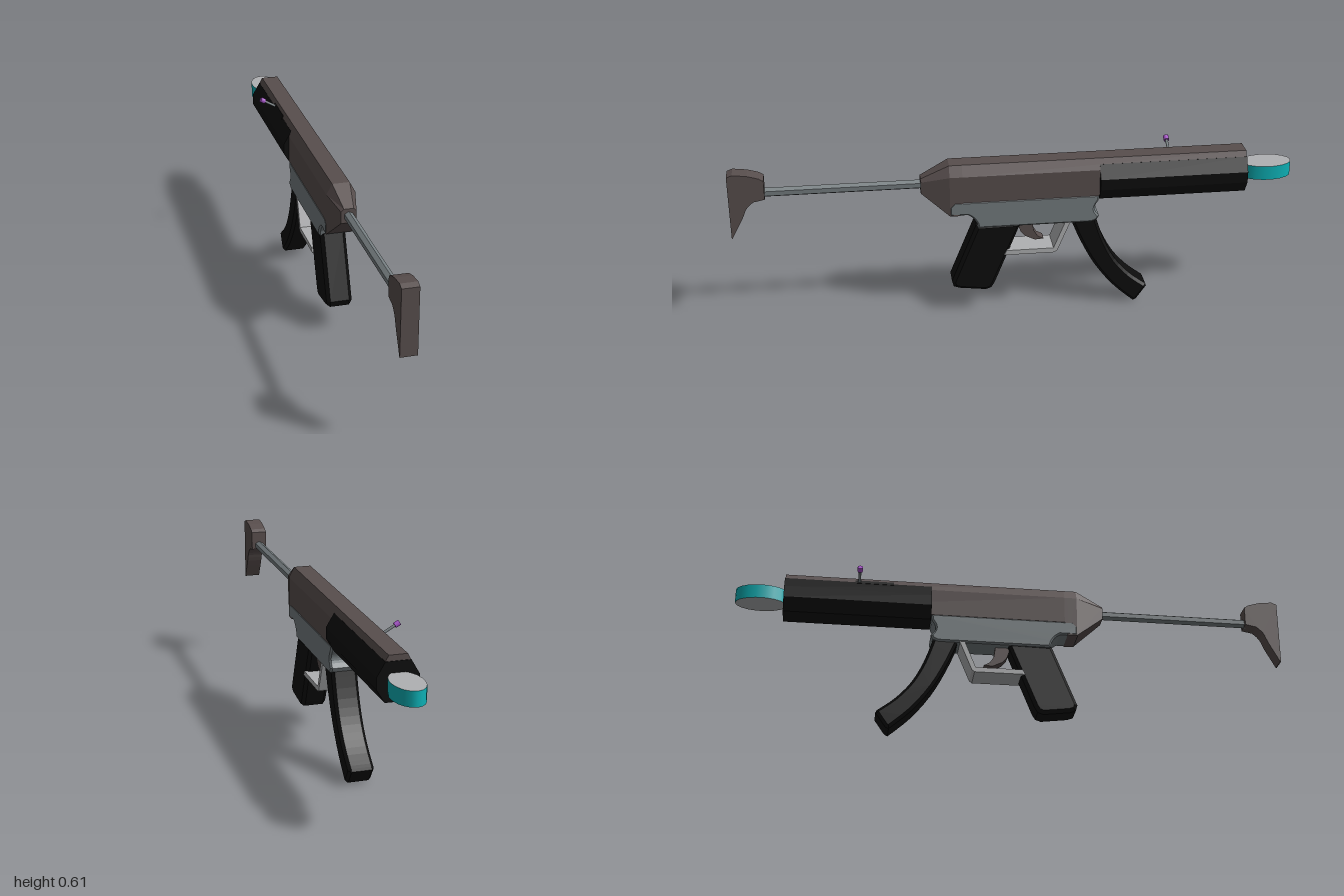
import * as THREE from 'three';

const mat = (name, color) => {
  const m = new THREE.MeshStandardMaterial({ color });
  m.name = name;
  return m;
};

// Side profile of [z, y] points, extruded across x with an optional chamfer
function sideExtrude(points, halfWidth, bevel = 0) {
  const shape = new THREE.Shape(points.map(([z, y]) => new THREE.Vector2(z, y)));
  const depth = 2 * (halfWidth - bevel);
  const g = new THREE.ExtrudeGeometry(shape, {
    depth, bevelEnabled: bevel > 0, bevelSize: bevel, bevelThickness: bevel,
    bevelOffset: -bevel, bevelSegments: 1,
  });
  g.translate(0, 0, -depth / 2);
  g.rotateY(-Math.PI / 2);
  return g;
}

// Smooth run of [z, y] points
const curve = (points, n = 12) =>
  new THREE.SplineCurve(points.map(([z, y]) => new THREE.Vector2(z, y))).getPoints(n).map((p) => [p.x, p.y]);

// Flat-sided loft through sections { z, pts }, ordered from back (+z) to front
function loft(sections) {
  const pos = [];
  const put = (s, i) => pos.push(s.pts[i][0], s.pts[i][1], s.z);
  const n = sections[0].pts.length;
  for (let k = 0; k < sections.length - 1; k++) {
    const a = sections[k], b = sections[k + 1];
    for (let i = 0; i < n; i++) {
      const j = (i + 1) % n;
      put(a, i); put(b, i); put(b, j);
      put(a, i); put(b, j); put(a, j);
    }
  }
  const first = sections[0], last = sections[sections.length - 1];
  for (let i = 1; i < n - 1; i++) {
    put(first, 0); put(first, i); put(first, i + 1);
    put(last, 0); put(last, i + 1); put(last, i);
  }
  const g = new THREE.BufferGeometry();
  g.setAttribute('position', new THREE.Float32BufferAttribute(pos, 3));
  g.computeVertexNormals();
  return g;
}

// Cross-section with a chamfered top
const bodySection = (bottom, w, shoulder, topW, top) =>
  [[-w, bottom], [w, bottom], [w, shoulder], [topW, top], [-topW, top], [-w, shoulder]];

export function createModel() {
  const group = new THREE.Group();
  const body = mat('dark brown grey', 0x584e4d);
  const grey = mat('steel grey', 0x757d80);
  const black = mat('black', 0x0d0d0d);
  const pale = mat('pale grey', 0xb0b1b3);
  const teal = mat('teal', 0x0db0b5);
  const purple = mat('purple', 0xa550c8);

  const add = (name, geometry, material) => {
    const m = new THREE.Mesh(geometry, material);
    m.name = name;
    group.add(m);
    return m;
  };

  // Shoulder stock and its rod
  add('stockPlate', sideExtrude([
    [1, 0.58], [0.98, 0.588], [0.93, 0.582], [0.89, 0.57], [0.875, 0.56], [0.875, 0.49],
    ...curve([[0.915, 0.482], [0.94, 0.458], [0.957, 0.42], [0.997, 0.345]], 9), [1, 0.345],
  ], 0.029), body);
  const rod = new THREE.CylinderGeometry(0.017, 0.017, 0.58, 6);
  rod.rotateX(Math.PI / 2);
  rod.translate(0, 0.505, 0.6);
  rod.computeVertexNormals();
  add('stockRod', rod.toNonIndexed(), grey).geometry.computeVertexNormals();

  // Receiver with tapered back
  const main = (b) => bodySection(b, 0.051, 0.545, 0.031, 0.583);
  add('receiver', loft([
    { z: 0.335, pts: bodySection(0.48, 0.027, 0.522, 0.017, 0.532) },
    { z: 0.235, pts: main(0.395) },
    { z: 0.2, pts: main(0.395) },
    { z: 0.19, pts: main(0.445) },
    { z: -0.825, pts: main(0.445) },
  ]), body);

  // Lower frame with curved cut-outs at both ends
  add('lowerFrame', sideExtrude([
    [0.237, 0.395], [0.237, 0.43], [0.22, 0.448], [-0.297, 0.448],
    ...curve([[-0.294, 0.425], [-0.282, 0.405], [-0.282, 0.385], [-0.297, 0.365]], 8),
    [-0.29, 0.35], [-0.27, 0.342], [-0.2, 0.342], [0.136, 0.342],
    ...curve([[0.14, 0.36], [0.152, 0.38], [0.172, 0.395]], 6),
  ], 0.052, 0.006), grey);

  // Handguard
  const guardPts = [[-0.043, 0.43], [0.043, 0.43], [0.07, 0.475], [0.07, 0.515],
    [0.042, 0.563], [-0.042, 0.563], [-0.07, 0.515], [-0.07, 0.475]];
  add('handguard', loft([{ z: -0.297, pts: guardPts }, { z: -0.827, pts: guardPts }]), black);

  // Oval muzzle tip with pale caps
  const tip = new THREE.CylinderGeometry(1, 1, 0.052, 18);
  tip.scale(0.054, 1, 0.092);
  tip.translate(0, 0.499, -0.908);
  add('muzzleTip', tip, [teal, pale, pale]);

  // Pistol grip
  add('grip', sideExtrude([
    [0.142, 0.35], [-0.018, 0.35], [0.078, 0.11], [0.09, 0.09], [0.11, 0.083],
    [0.205, 0.095], [0.227, 0.103], [0.233, 0.125],
  ], 0.046, 0.012), black);

  // Curved magazine
  add('magazine', sideExtrude([
    ...curve([[-0.195, 0.355], [-0.235, 0.26], [-0.287, 0.163], [-0.357, 0.072], [-0.435, 0]]),
    [-0.447, 0.006], [-0.483, 0.058], [-0.478, 0.068],
    ...curve([[-0.468, 0.075], [-0.415, 0.118], [-0.362, 0.18], [-0.32, 0.26], [-0.287, 0.355]]),
  ], 0.046, 0.01), black);

  // Trigger and its guard
  add('triggerGuard', sideExtrude([
    [0.045, 0.228], [-0.138, 0.228], [-0.148, 0.236], [-0.193, 0.345],
    [-0.174, 0.345], [-0.134, 0.246], [0.035, 0.246],
  ], 0.051), pale);
  add('trigger', sideExtrude([
    [-0.005, 0.345], [-0.06, 0.345], [-0.066, 0.305], [-0.08, 0.282], [-0.102, 0.27],
    [-0.07, 0.268], [-0.035, 0.285], [-0.018, 0.305],
  ], 0.02), body);

  // Cocking handle: slot plate, lever and knob
  const chamfer = Math.atan2(0.038, 0.02);
  const slot = add('handleSlot', new THREE.BoxGeometry(0.016, 0.004, 0.14), black);
  slot.position.set(-0.041, 0.564, -0.505);
  slot.rotation.z = chamfer;
  const dir = new THREE.Vector3(-0.056, 0.032, 0).normalize();
  const turn = new THREE.Quaternion().setFromUnitVectors(new THREE.Vector3(0, 1, 0), dir);
  const lever = add('handleLever', new THREE.CylinderGeometry(0.005, 0.005, 0.07, 8), grey);
  lever.position.set(-0.057, 0.574, -0.56);
  lever.quaternion.copy(turn);
  const knob = add('handleKnob', new THREE.CylinderGeometry(0.01, 0.01, 0.018, 8), purple);
  knob.position.set(-0.089, 0.592, -0.56);
  knob.quaternion.copy(turn);

  // The body sits slightly to its left to balance the handle
  group.position.x = 0.0145;
  const root = new THREE.Group();
  root.name = 'model';
  group.name = 'toyBlaster';
  root.add(group);
  return root;
}
